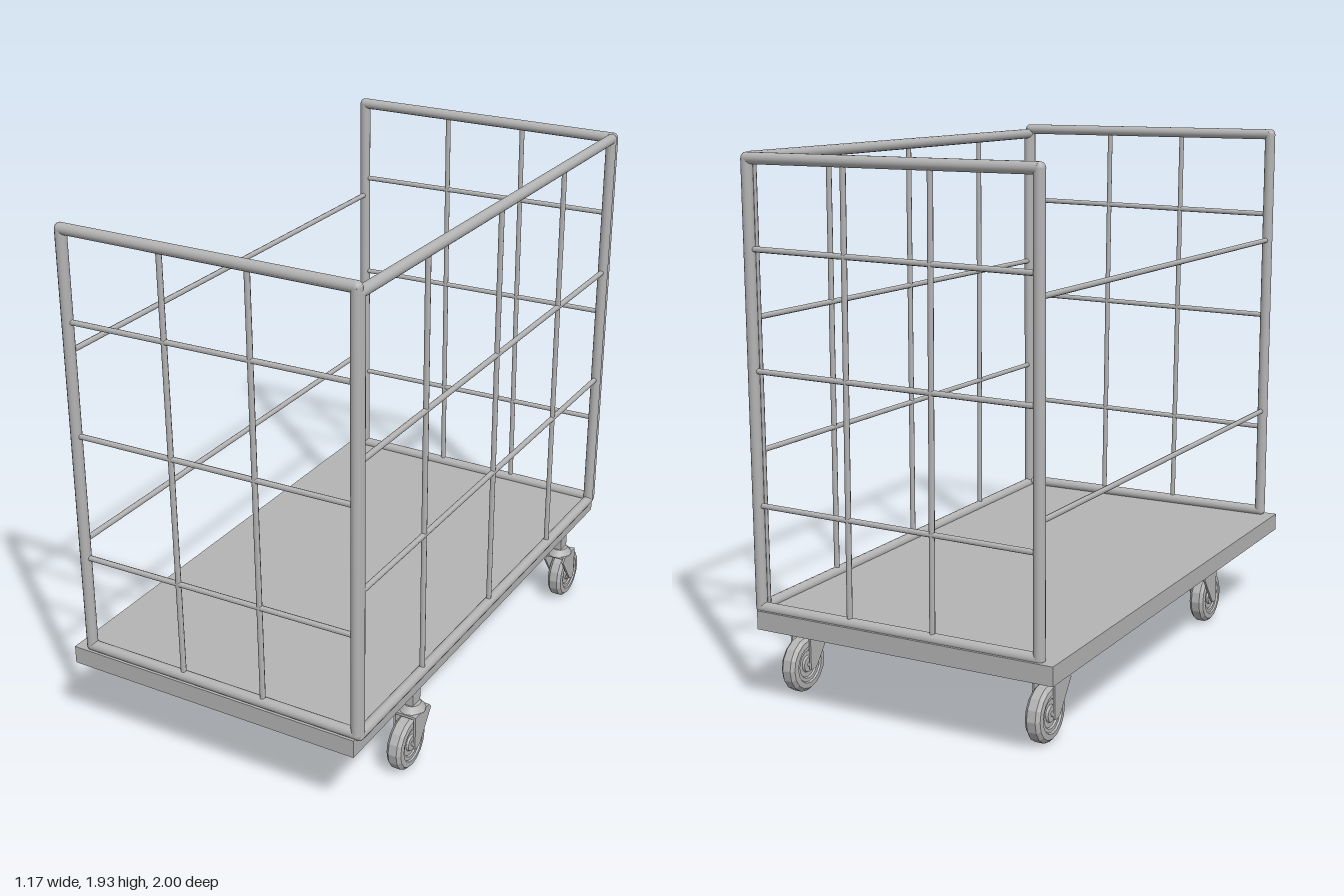
import * as THREE from 'three';

const metal = new THREE.MeshStandardMaterial({ color: 0xb4b4b4 });
metal.name = 'grey metal';

const V = (x, y, z) => new THREE.Vector3(x, y, z);

function add(parent, name, geometry, x = 0, y = 0, z = 0) {
  const mesh = new THREE.Mesh(geometry, metal);
  mesh.name = name;
  mesh.position.set(x, y, z);
  parent.add(mesh);
  return mesh;
}

// Round bar between two points
function rod(parent, name, a, b, r, sides = 8) {
  const dir = b.clone().sub(a);
  const mesh = add(parent, name, new THREE.CylinderGeometry(r, r, dir.length(), sides));
  mesh.position.copy(a).lerp(b, 0.5);
  mesh.quaternion.setFromUnitVectors(V(0, 1, 0), dir.normalize());
  return mesh;
}

// Closed tube frame with rounded corners
function frame(parent, corners, r) {
  corners.forEach((c, i) => {
    rod(parent, 'frameTube', c, corners[(i + 1) % corners.length], r, 14);
    add(parent, 'frameCorner', new THREE.SphereGeometry(r, 14, 10), c.x, c.y, c.z);
  });
}

// End panel: frame, two uprights and three slightly sloping rails
function endPanel(name, z, bottom, top, drop) {
  const g = new THREE.Group();
  g.name = name;
  const l = -0.523, r = 0.554;
  frame(g, [V(l, bottom, z), V(r, bottom, z), V(r, top, z), V(l, top, z)], 0.02);
  for (const x of [-0.137, 0.185])
    rod(g, 'upright', V(x + 0.007, bottom, z), V(x - 0.007, top, z), 0.01);
  for (const y of [0.737, 1.2, 1.607])
    rod(g, 'rail', V(l, y - drop - 0.008, z), V(r, y - drop + 0.008, z), 0.01);
  return g;
}

// Long closed side panel
function sidePanel() {
  const g = new THREE.Group();
  g.name = 'sidePanel';
  const x = 0.558, b = 0.365, t = 1.895, f = 0.968, k = -0.947;
  frame(g, [V(x, b, f), V(x, b, k), V(x, t, k), V(x, t, f)], 0.0195);
  for (const z of [0.535, 0.008, -0.513])
    rod(g, 'upright', V(x, b, z - 0.006), V(x, t, z + 0.006), 0.01);
  for (const y of [0.904, 1.359])
    rod(g, 'rail', V(x, y - 0.007, f), V(x, y + 0.007, k), 0.01);
  return g;
}

// Swivel caster; its wheel trails toward +z
function caster() {
  const g = new THREE.Group();
  g.name = 'caster';
  add(g, 'stem', new THREE.BoxGeometry(0.032, 0.07, 0.055), 0, 0.265, 0);
  const cap = add(g, 'forkCap', new THREE.CylinderGeometry(0.03, 0.048, 0.025, 12), 0, 0.227, 0);
  cap.scale.z = 1.15;

  // Fork cheeks and bridge
  const cheek = new THREE.Shape([
    [0.057, 0.217], [-0.045, 0.217], [-0.06, 0.2], [0.018, 0.095], [0.03, 0.087],
    [0.057, 0.087]].map(([z, y]) => new THREE.Vector2(-z, y)));
  for (const s of [-1, 1]) {
    const geo = new THREE.ExtrudeGeometry(cheek, { depth: 0.008, bevelEnabled: false });
    geo.translate(0, 0, -0.004).rotateY(Math.PI / 2);
    add(g, 'forkCheek', geo, s * 0.039, 0, 0);
  }
  add(g, 'forkBridge', new THREE.BoxGeometry(0.08, 0.01, 0.1), 0, 0.212, 0.005);

  // Wheel with stepped hub
  const profile = [[0.001, -0.026], [0.028, -0.026], [0.031, -0.018], [0.048, -0.018],
    [0.052, -0.024], [0.064, -0.024], [0.068, -0.03], [0.088, -0.028], [0.1, -0.016]];
  const points = [...profile, ...profile.slice().reverse().map(([r, w]) => [r, -w])]
    .map(([r, w]) => new THREE.Vector2(r, w));
  const wheel = add(g, 'wheel', new THREE.LatheGeometry(points, 16).toNonIndexed(), 0, 0.102, 0.046);
  wheel.geometry.computeVertexNormals();
  wheel.rotation.z = Math.PI / 2;
  rod(g, 'axle', V(-0.043, 0.102, 0.046), V(0.043, 0.102, 0.046), 0.01);
  return g;
}

export function createModel() {
  const cart = new THREE.Group();
  cart.name = 'cageTrolley';

  // Deck
  add(cart, 'deck', new THREE.BoxGeometry(1.14, 0.066, 2), -0.015, 0.327, 0);

  // Cage on three sides
  cart.add(endPanel('frontPanel', 0.976, 0.374, 1.914, 0));
  cart.add(endPanel('backPanel', -0.972, 0.366, 1.893, 0.018));
  cart.add(sidePanel());

  // Two bars across the open side
  for (const y of [0.803, 1.502])
    rod(cart, 'openSideBar', V(-0.522, y - 0.007, 0.976), V(-0.522, y + 0.007, -0.972), 0.01);

  // Casters
  for (const x of [-0.44, 0.533])
    for (const [z, turn] of [[0.55, 0], [-0.73, Math.PI]]) {
      const c = caster();
      c.position.set(x, 0, z);
      c.rotation.y = turn;
      cart.add(c);
    }
  return cart;
}
